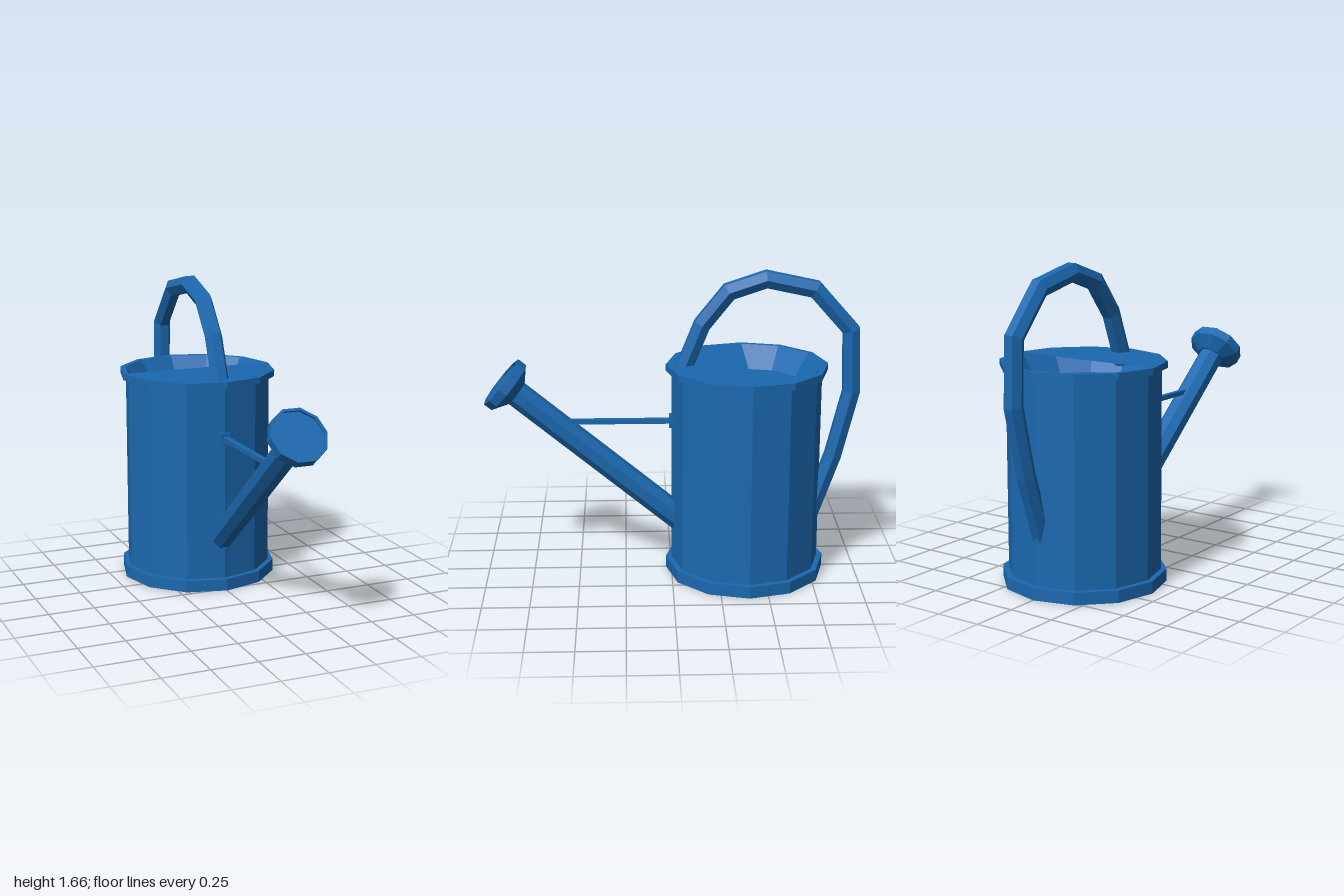
import * as THREE from 'three';

const material = new THREE.MeshStandardMaterial({ color: 0x1b68b0, flatShading: true, side: THREE.DoubleSide });

function add(parent, name, geometry, x = 0, y = 0, z = 0) {
  const mesh = new THREE.Mesh(geometry, material);
  mesh.name = name;
  mesh.position.set(x, y, z);
  parent.add(mesh);
  return mesh;
}

const lathe = (pairs, sides, start = 0) =>
  new THREE.LatheGeometry(pairs.map(([r, y]) => new THREE.Vector2(r, y)), sides, start);

// Sweeps a regular polygon along [z, y] points, with mitred corners
function sweep(path, radius, sides) {
  const pts = path.map(([z, y]) => new THREE.Vector2(z, y));
  const last = pts.length - 1;
  const positions = [], index = [];
  pts.forEach((p, i) => {
    const before = pts[Math.max(i, 1)].clone().sub(pts[Math.max(i, 1) - 1]).normalize();
    const after = pts[Math.min(i + 1, last)].clone().sub(pts[Math.min(i, last - 1)]).normalize();
    const t = before.clone().add(after).normalize();
    const miter = radius / t.dot(after);
    for (let k = 0; k < sides; k++) {
      const a = (k / sides) * Math.PI * 2;
      const s = Math.sin(a) * miter;
      positions.push(Math.cos(a) * radius, p.y - t.x * s, p.x + t.y * s);
      if (i < last) {
        const q = i * sides + k, r = i * sides + (k + 1) % sides;
        index.push(q, q + sides, r, r, q + sides, r + sides);
      }
    }
  });
  // End caps
  for (let k = 1; k < sides - 1; k++) {
    const e = last * sides;
    index.push(0, k, k + 1, e, e + k + 1, e + k);
  }
  const g = new THREE.BufferGeometry();
  g.setAttribute('position', new THREE.Float32BufferAttribute(positions, 3));
  g.setIndex(index);
  g.computeVertexNormals();
  return g;
}

export function createModel() {
  const can = new THREE.Group();
  can.name = 'wateringCan';
  const bodyZ = -0.4;

  // Twelve-sided tank with raised bands and a recessed opening
  add(can, 'tank', lathe([
    [0, 0], [0.43, 0], [0.43, 0.065], [0.4, 0.065], [0.4, 1.125],
    [0.43, 1.125], [0.43, 1.16], [0.4, 1.16], [0.32, 1.04], [0, 1.04],
  ], 12), 0, 0, bodyZ);

  // Half cover over the front of the opening
  add(can, 'halfLid', new THREE.CircleGeometry(0.4, 6, Math.PI, Math.PI).rotateX(-Math.PI / 2), 0, 1.16, bodyZ);

  // Hexagonal carrying handle arching from the lid to the back
  add(can, 'handle', sweep([
    [-0.05, 1.1], [-0.16, 1.375], [-0.3, 1.55], [-0.495, 1.615], [-0.75, 1.56],
    [-0.945, 1.34], [-0.957, 1.005], [-0.87, 0.645], [-0.75, 0.3],
  ], 0.05, 6));

  // Slanted spout with its sprinkler head, built along +y and tilted forward
  const spout = new THREE.Group();
  spout.name = 'spoutAssembly';
  spout.position.set(0, 1.072, 0.898);
  spout.rotation.x = Math.atan2(0.77, 0.64);
  can.add(spout);
  add(spout, 'spout', new THREE.CylinderGeometry(0.07, 0.07, 1.18, 8, 1, false, Math.PI / 8), 0, -0.66, 0);
  add(spout, 'sprinklerHead', lathe([
    [0, -0.1], [0.075, -0.1], [0.15, -0.05], [0.15, 0], [0.135, 0], [0.135, -0.012], [0, -0.012],
  ], 10, Math.PI / 2));

  // Brace between tank and spout, with its mounting plate
  add(can, 'brace', new THREE.BoxGeometry(0.03, 0.025, 0.56), 0, 0.847, 0.265);
  add(can, 'bracePlate', new THREE.BoxGeometry(0.06, 0.065, 0.025), 0, 0.847, 0);

  return can;
}
